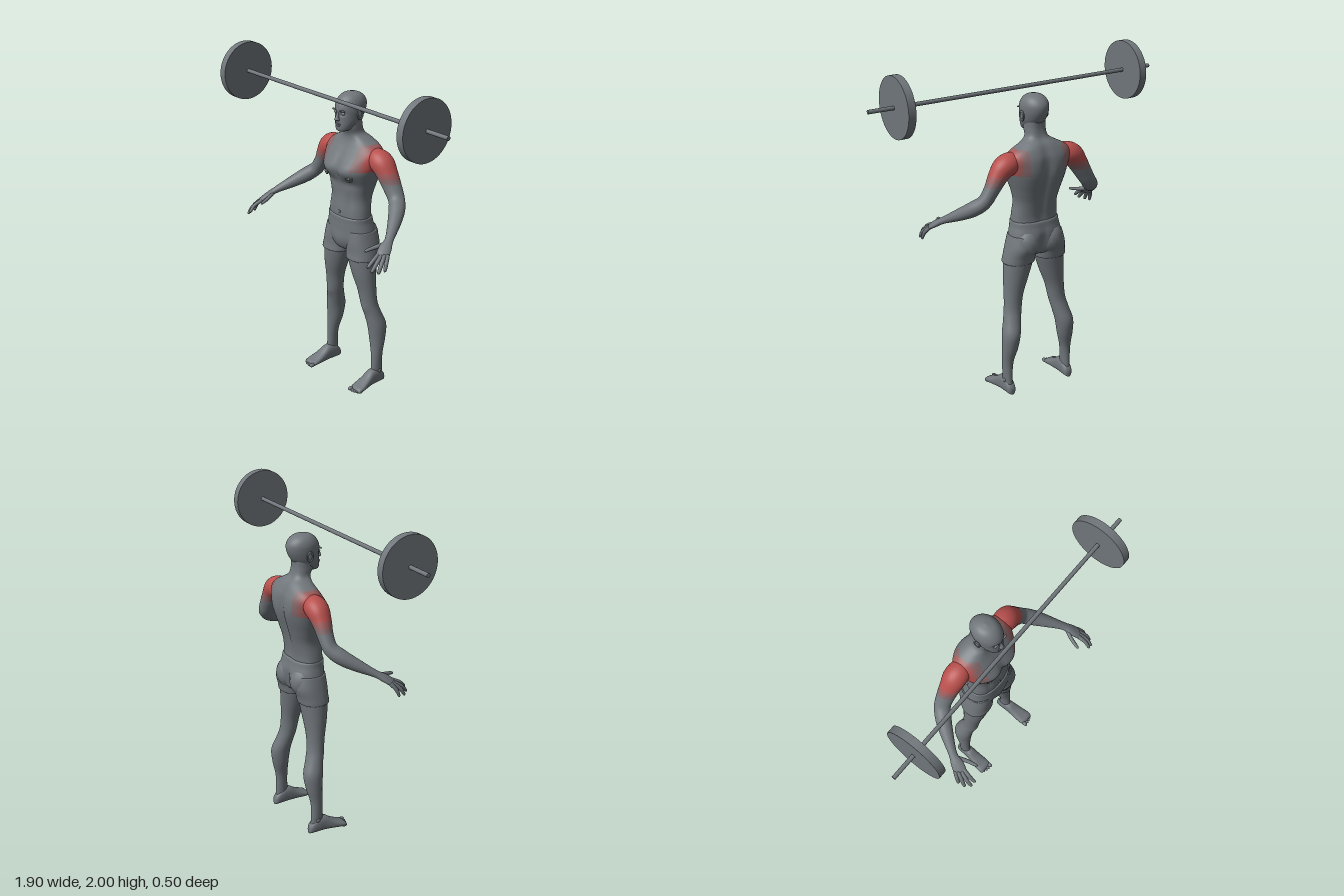
import * as THREE from 'three';

const mat = (name, color) => Object.assign(new THREE.MeshStandardMaterial({ color }), { name });
const V = (x, y, z) => new THREE.Vector3(x, y, z);
const bell = (d, w) => Math.exp(-(d * d) / (w * w));

// Smoothly resample rows of numbers with a Catmull-Rom rule
function smooth(rows, n) {
  const out = [], last = rows.length - 1;
  for (let i = 0; i <= n; i++) {
    const f = (i / n) * last, k = Math.min(Math.floor(f), last - 1), t = f - k;
    const [a, b, c, d] = [-1, 0, 1, 2].map((o) => rows[Math.min(last, Math.max(0, k + o))]);
    out.push(b.map((_, j) => b[j] + 0.5 * t * (c[j] - a[j] + t * (2 * a[j] - 5 * b[j] + 4 * c[j] - d[j]
      + t * (3 * (b[j] - c[j]) + d[j] - a[j])))));
  }
  return out;
}

// Closed skin over rings {c, u, v}; warp moves points, paint picks a material index per face
function skin(rings, { seg = 32, power = 2, side = 1, warp, paint } = {}) {
  const pos = [], buckets = [[], [], [], []];
  const pw = (k) => Math.sign(k) * Math.pow(Math.abs(k), 2 / power);
  for (const { c, u, v } of rings) {
    for (let j = 0; j < seg; j++) {
      const a = (j / seg) * Math.PI * 2;
      const p = c.clone().addScaledVector(u, pw(Math.cos(a))).addScaledVector(v, pw(Math.sin(a)));
      if (warp) warp(p, -Math.sin(a));
      pos.push(p.x * side, p.y, p.z);
    }
  }
  const n = rings.length, ends = [rings[0].c, rings[n - 1].c];
  ends.forEach((c) => pos.push(c.x * side, c.y, c.z));
  const tri = (a, b, c) => {
    const m = [0, 1, 2].map((k) => (pos[a * 3 + k] + pos[b * 3 + k] + pos[c * 3 + k]) / 3);
    const list = buckets[paint ? paint(...m) : 0];
    side > 0 ? list.push(a, b, c) : list.push(a, c, b);
  };
  for (let j = 0; j < seg; j++) {
    const k = (j + 1) % seg, top = (n - 1) * seg;
    for (let i = 0; i < n - 1; i++) {
      const r = i * seg;
      tri(r + j, r + k, r + seg + k);
      tri(r + j, r + seg + k, r + seg + j);
    }
    tri(n * seg, k, j);
    tri(n * seg + 1, top + j, top + k);
  }
  const g = new THREE.BufferGeometry();
  g.setAttribute('position', new THREE.Float32BufferAttribute(pos, 3));
  g.setIndex(buckets.flat());
  let start = 0;
  buckets.forEach((b, i) => { if (b.length) g.addGroup(start, b.length, i); start += b.length; });
  g.computeVertexNormals();
  return g;
}

// Upright form, rows: [y, centre x, half width, front z, back z]
const upright = (rows, n, opt) => skin(smooth(rows, n).map(([y, x, w, f, b]) => ({
  c: V(x, y, (f + b) / 2), u: V(Math.max(w, 0.001), 0, 0), v: V(0, 0, -(f - b) / 2),
})), opt);

// Bent form along a path, rows: [x, y, z, wide radius, thin radius]
function limb(rows, n, opt) {
  const s = smooth(rows, n), pts = s.map((r) => V(r[0], r[1], r[2]));
  return skin(s.map((r, i) => {
    const t = pts[Math.min(i + 1, n)].clone().sub(pts[Math.max(i - 1, 0)]).normalize();
    const u = V(-0.7, 0.1, 0.7);
    u.addScaledVector(t, -u.dot(t)).normalize();
    const v = t.clone().cross(u);
    return { c: pts[i], u: u.multiplyScalar(r[3]), v: v.multiplyScalar(r[4]) };
  }), opt);
}

export function createModel() {
  const root = new THREE.Group();
  root.name = 'athleteWithBarbell';
  const grey = mat('grey', 0x70767b);
  const skins = [grey, mat('faintRed', 0x84686a), mat('softRed', 0x9d5d5c), mat('muscleRed', 0xb8504d)];
  const add = (name, geo, m = grey, x = 0, y = 0, z = 0) => {
    const o = new THREE.Mesh(geo, m);
    o.name = name;
    o.position.set(x, y, z);
    root.add(o);
    return o;
  };
  const blob = (name, x, y, z, a, b, c) => add(name, new THREE.SphereGeometry(1, 16, 12), grey, x, y, z).scale.set(a, b, c);

  // Barbell
  const rod = (r, l, seg) => new THREE.CylinderGeometry(r, r, l, seg).rotateZ(Math.PI / 2);
  add('bar', rod(0.012, 1.9, 20), grey, 0, 1.823, 0.07);
  for (const s of [1, -1]) add('weightPlate', rod(0.177, 0.046, 56), grey, s * 0.773, 1.823, 0.07);

  // Torso and neck, with chest, belly and spine modelling
  add('torso', upright([
    [1.05, 0, 0.148, -0.012, -0.19], [1.12, 0, 0.142, -0.012, -0.19], [1.2, 0, 0.136, -0.018, -0.205],
    [1.27, 0, 0.152, -0.012, -0.225], [1.33, 0, 0.172, 0.008, -0.243], [1.38, 0, 0.188, 0.02, -0.253],
    [1.43, 0, 0.2, 0.002, -0.254], [1.48, 0, 0.205, -0.03, -0.248], [1.52, 0, 0.175, -0.055, -0.232],
    [1.553, 0, 0.115, -0.068, -0.212], [1.585, 0, 0.068, -0.066, -0.18], [1.63, 0, 0.061, -0.045, -0.166],
    [1.68, 0, 0.06, -0.04, -0.165],
  ], 72, {
    seg: 72, power: 2.35,
    warp: (p, w) => {
      const x = Math.abs(p.x);
      if (w > 0) {
        p.z -= w * 0.014 * bell(p.x, 0.02) * bell(p.y - 1.36, 0.13);
        p.z += w * 0.012 * bell(x - 0.09, 0.06) * bell(p.y - 1.38, 0.045);
        p.z -= w * 0.012 * bell(x - 0.08, 0.07) * bell(p.y - 1.3, 0.03);
        p.z -= w * 0.006 * bell(x - 0.075, 0.018) * bell(p.y - 1.17, 0.09);
        p.z -= w * 0.005 * bell(p.x, 0.012) * bell(p.y - 1.17, 0.1);
      } else {
        p.z -= w * 0.022 * bell(p.x, 0.028) * bell(p.y - 1.33, 0.2);
        p.z += w * 0.006 * bell(x - 0.1, 0.05) * bell(p.y - 1.42, 0.07);
      }
    },
    paint: (x, y) => {
      const a = Math.abs(x);
      if (y < 1.39 || y > 1.535) return 0;
      return a > 0.172 ? 3 : a > 0.15 ? 2 : a > 0.11 ? 1 : 0;
    },
  }), skins);
  blob('navel', 0, 1.108, -0.013, 0.009, 0.011, 0.006);

  // Head and face
  add('head', upright([
    [1.606, 0, 0.02, -0.012, -0.06], [1.615, 0, 0.04, -0.001, -0.09], [1.64, 0, 0.056, 0.002, -0.13],
    [1.67, 0, 0.068, 0, -0.165], [1.7, 0, 0.074, 0, -0.185], [1.735, 0, 0.078, 0.002, -0.199],
    [1.77, 0, 0.077, -0.006, -0.2], [1.8, 0, 0.065, -0.026, -0.182], [1.82, 0, 0.042, -0.055, -0.152],
    [1.829, 0, 0.006, -0.095, -0.115],
  ], 44, {
    seg: 48,
    warp: (p, w) => {
      if (w > 0) p.z -= w * 0.014 * bell(Math.abs(p.x) - 0.031, 0.016) * bell(p.y - 1.718, 0.013);
    },
  }));
  add('nose', upright([[1.672, 0, 0.012, 0.008, -0.01], [1.68, 0, 0.017, 0.02, -0.01],
    [1.695, 0, 0.011, 0.016, -0.01], [1.725, 0, 0.007, 0.002, -0.015]], 12, { seg: 16 }));
  blob('upperLip', 0, 1.654, -0.001, 0.023, 0.005, 0.008);
  blob('lowerLip', 0, 1.645, -0.001, 0.02, 0.006, 0.008);

  for (const s of [1, -1]) {
    blob('eye', s * 0.031, 1.717, -0.014, 0.013, 0.009, 0.01);
    blob('brow', s * 0.032, 1.734, -0.006, 0.022, 0.005, 0.008);
    blob('ear', s * 0.078, 1.705, -0.1, 0.009, 0.031, 0.018);
    add('earRim', new THREE.TorusGeometry(0.018, 0.005, 8, 20).rotateY(Math.PI / 2), grey, s * 0.083, 1.708, -0.1).scale.y = 1.4;
    blob('nipple', s * 0.1, 1.343, 0.004, 0.009, 0.009, 0.009);
    add('areola', new THREE.TorusGeometry(0.02, 0.004, 8, 24).rotateY(s * 0.35), grey, s * 0.1, 1.343, 0);

    // Arm running from shoulder to palm
    add('arm', limb([
      [0.13, 1.455, -0.14, 0.045, 0.05], [0.185, 1.457, -0.142, 0.066, 0.064], [0.232, 1.437, -0.143, 0.07, 0.066],
      [0.272, 1.388, -0.143, 0.062, 0.056], [0.315, 1.318, -0.145, 0.054, 0.045], [0.358, 1.255, -0.138, 0.048, 0.042],
      [0.402, 1.212, -0.098, 0.047, 0.044], [0.452, 1.168, -0.032, 0.038, 0.036], [0.512, 1.115, 0.06, 0.025, 0.02],
      [0.534, 1.086, 0.108, 0.036, 0.018], [0.552, 1.06, 0.145, 0.037, 0.014], [0.556, 1.053, 0.153, 0.028, 0.008],
    ], 70, {
      side: s,
      paint: (x, y) => (y > 1.405 ? 3 : y > 1.375 ? 2 : y > 1.345 ? 1 : 0),
    }), skins);

    // Fingers and thumb: base, middle, tip
    [
      ['littleFinger', 0.57, 1.06, 0.125, 0.59, 1.025, 0.152, 0.597, 0.987, 0.168],
      ['ringFinger', 0.562, 1.06, 0.14, 0.584, 1.02, 0.185, 0.59, 0.983, 0.208],
      ['middleFinger', 0.548, 1.06, 0.15, 0.565, 1.027, 0.203, 0.566, 0.99, 0.237],
      ['indexFinger', 0.533, 1.066, 0.153, 0.542, 1.04, 0.207, 0.54, 1.01, 0.241],
      ['thumb', 0.515, 1.1, 0.085, 0.488, 1.085, 0.145, 0.473, 1.073, 0.2],
    ].forEach(([name, ...q]) => add(name, limb([
      [q[0], q[1], q[2], 0.013, 0.012], [q[3], q[4], q[5], 0.012, 0.011], [q[6], q[7], q[8], 0.009, 0.008],
      [q[6] + 0.001, q[7] - 0.004, q[8] + 0.004, 0.003, 0.003],
    ], 15, { seg: 12, side: s })));

    // Short trouser leg with hem, and buttock
    add('shortsLeg', upright([
      [0.826, s * 0.108, 0.091, -0.014, -0.184], [0.832, s * 0.108, 0.097, -0.008, -0.19],
      [0.87, s * 0.104, 0.095, -0.012, -0.198], [0.93, s * 0.098, 0.088, -0.012, -0.215],
      [1.0, s * 0.088, 0.08, -0.018, -0.205],
    ], 24, { seg: 36, power: 2.2 }));
    blob('buttock', s * 0.078, 0.955, -0.143, 0.082, 0.095, 0.086);

    // Leg from ankle to hip
    add('leg', upright([
      [0.03, s * 0.208, 0.026, -0.09, -0.182], [0.09, s * 0.21, 0.026, -0.097, -0.176],
      [0.2, s * 0.208, 0.033, -0.1, -0.176], [0.3, s * 0.198, 0.048, -0.099, -0.2],
      [0.39, s * 0.19, 0.055, -0.09, -0.211], [0.47, s * 0.172, 0.054, -0.078, -0.185],
      [0.54, s * 0.157, 0.054, -0.064, -0.166], [0.63, s * 0.145, 0.06, -0.05, -0.163],
      [0.73, s * 0.126, 0.077, -0.028, -0.172], [0.83, s * 0.108, 0.09, -0.016, -0.183],
      [0.88, s * 0.104, 0.086, -0.02, -0.185],
    ], 54, {
      seg: 36,
      warp: (p, w) => { if (w > 0) p.z += 0.007 * w * bell(Math.abs(p.x) - 0.165, 0.03) * bell(p.y - 0.51, 0.035); },
    }));

    // Foot rows: [z, centre x, half width, top y]
    add('foot', skin(smooth([
      [-0.192, 0.207, 0.012, 0.035], [-0.18, 0.207, 0.026, 0.06], [-0.14, 0.208, 0.032, 0.095],
      [-0.09, 0.21, 0.034, 0.1], [-0.04, 0.214, 0.04, 0.068], [0.01, 0.218, 0.046, 0.042],
      [0.04, 0.219, 0.044, 0.03], [0.052, 0.219, 0.036, 0.018],
    ], 30).map(([z, x, w, h]) => ({ c: V(s * x, h / 2, z), u: V(w, 0, 0), v: V(0, h / 2, 0) })), { power: 2.5 }));
    [[0.187, 0.054, 0.013], [0.208, 0.054, 0.0095], [0.225, 0.05, 0.009], [0.241, 0.044, 0.0085], [0.256, 0.036, 0.008]]
      .forEach(([x, z, r]) => blob('toe', s * x, r, z - 0.002, r, r, r + 0.009));
    blob('ankleBone', s * 0.233, 0.085, -0.14, 0.008, 0.014, 0.013);
  }

  // Shorts body with a raised waistband edge
  add('shorts', upright([
    [0.862, 0, 0.05, -0.045, -0.15], [0.885, 0, 0.115, -0.022, -0.19], [0.94, 0, 0.176, -0.006, -0.212],
    [1.0, 0, 0.166, -0.004, -0.216], [1.05, 0, 0.155, -0.004, -0.204], [1.078, 0, 0.152, -0.004, -0.198],
    [1.084, 0, 0.147, -0.012, -0.19],
  ], 36, {
    seg: 56, power: 2.3,
    warp: (p, w) => {
      if (w < 0) p.z -= w * 0.022 * bell(p.x, 0.02) * bell(p.y - 0.94, 0.08);
      else p.z += w * 0.008 * bell(p.x, 0.04) * bell(p.y - 0.92, 0.05);
    },
  }));
  return root;
}
